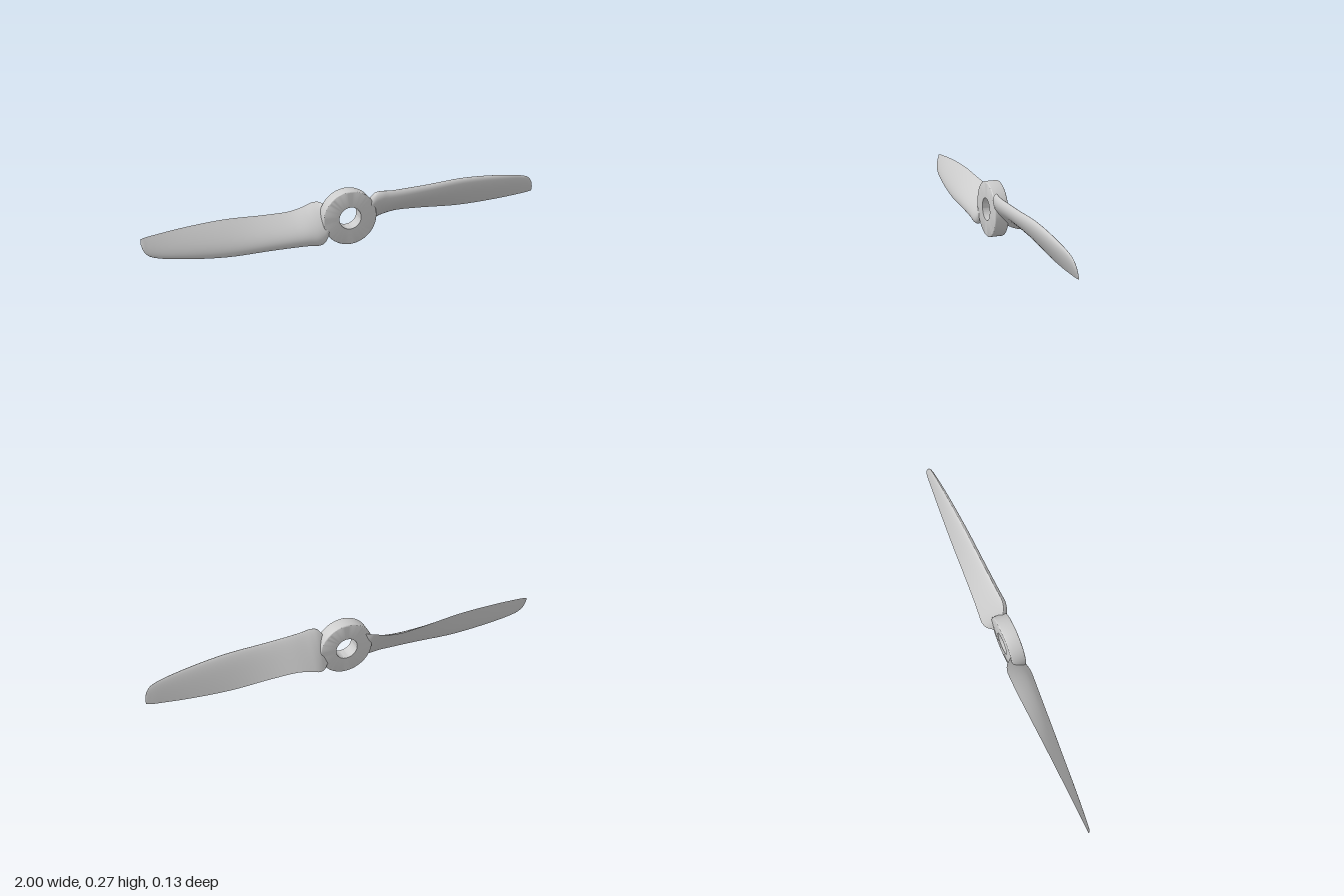
import * as THREE from 'three';
import { toCreasedNormals } from 'three/addons/utils/BufferGeometryUtils.js';

const HUB_Y = 0.136;

// Blade stations: x, leading edge y z, trailing edge y z, front bulge, back bulge
const STATIONS = [
  [0.07, 0.18, 0.01, 0.10, -0.01, 0.02, 0.002],
  [0.10, 0.215, 0.022, 0.08, -0.025, 0.03, 0.004],
  [0.13, 0.25, 0.038, 0.07, -0.055, 0.038, 0.006],
  [0.16, 0.255, 0.044, 0.074, -0.066, 0.041, 0.007],
  [0.20, 0.251, 0.043, 0.088, -0.065, 0.041, 0.007],
  [0.27, 0.25, 0.039, 0.102, -0.061, 0.039, 0.008],
  [0.40, 0.252, 0.032, 0.101, -0.054, 0.034, 0.009],
  [0.60, 0.258, 0.02, 0.092, -0.044, 0.028, 0.01],
  [0.80, 0.243, 0.008, 0.101, -0.033, 0.02, 0.008],
  [0.93, 0.222, -0.001, 0.114, -0.025, 0.012, 0.005],
  [0.97, 0.206, -0.005, 0.119, -0.023, 0.009, 0.003],
  [0.99, 0.182, -0.01, 0.123, -0.021, 0.006, 0.002],
  [1.00, 0.15, -0.016, 0.126, -0.02, 0, 0],
];

// Rounded nose tapering to a sharp trailing edge, peak value about 1
const foil = (s) => 2.0 * (1.4845 * Math.sqrt(s) - 0.63 * s - 1.758 * s * s + 1.4215 * s ** 3 - 0.518 * s ** 4);

// Twisted blade lofted through the airfoil sections
function bladeGeometry(rows = 72, half = 16) {
  const curve = (f) => new THREE.CatmullRomCurve3(STATIONS.map(f));
  const lead = curve((s) => new THREE.Vector3(s[0], s[1], s[2]));
  const trail = curve((s) => new THREE.Vector3(s[0], s[3], s[4]));
  const bulge = curve((s) => new THREE.Vector3(s[5], s[6], s[0]));
  const pos = [], index = [], cols = 2 * half + 1;
  for (let i = 0; i <= rows; i++) {
    const t = i / rows;
    const L = lead.getPoint(t), T = trail.getPoint(t), B = bulge.getPoint(t);
    const chord = T.clone().sub(L);
    const normal = new THREE.Vector3(0, chord.z, -chord.y).normalize();
    for (let j = 0; j < cols; j++) {
      const k = (j - half) / half; // -1 back trailing edge, 0 nose, 1 front trailing edge
      const s = k * k;
      const offset = (k < 0 ? -B.y : B.x) * (s === 1 ? 0 : foil(s));
      const p = L.clone().addScaledVector(chord, s).addScaledVector(normal, offset);
      pos.push(p.x, p.y - HUB_Y, p.z);
      if (i < rows && j < cols - 1) {
        const a = i * cols + j, c = a + cols;
        index.push(a, a + 1, c, a + 1, c + 1, c);
      }
    }
  }
  const g = new THREE.BufferGeometry();
  g.setAttribute('position', new THREE.Float32BufferAttribute(pos, 3));
  g.setIndex(index);
  g.computeVertexNormals();
  return g;
}

// Bored hub ring with softened outer rims
function hubGeometry() {
  const ri = 0.055, ro = 0.135, back = -0.025, front = 0.044, f = 0.006;
  const profile = [[ri, front], [ri, back]];
  for (const [z, start] of [[back + f, -Math.PI / 2], [front - f, 0]]) {
    for (let i = 0; i <= 4; i++) {
      const a = start + (i / 4) * Math.PI / 2;
      profile.push([ro - f + f * Math.cos(a), z + f * Math.sin(a)]);
    }
  }
  profile.push([ri, front]);
  const g = new THREE.LatheGeometry(profile.map(([r, z]) => new THREE.Vector2(r, z)), 72);
  g.rotateX(Math.PI / 2);
  return toCreasedNormals(g, 0.6);
}

export function createModel() {
  const group = new THREE.Group();
  group.name = 'propeller';
  const material = new THREE.MeshStandardMaterial({ color: 0xcccccc });
  const bladeMaterial = new THREE.MeshStandardMaterial({ color: 0xcccccc, side: THREE.DoubleSide });

  const hub = new THREE.Mesh(hubGeometry(), material);
  hub.name = 'hub';
  hub.position.y = HUB_Y;
  group.add(hub);

  // Two identical blades, half a turn apart
  const blade = bladeGeometry();
  ['leftBlade', 'rightBlade'].forEach((name, i) => {
    const mesh = new THREE.Mesh(blade, bladeMaterial);
    mesh.name = name;
    mesh.position.y = HUB_Y;
    mesh.rotation.z = i * Math.PI;
    group.add(mesh);
  });
  return group;
}
